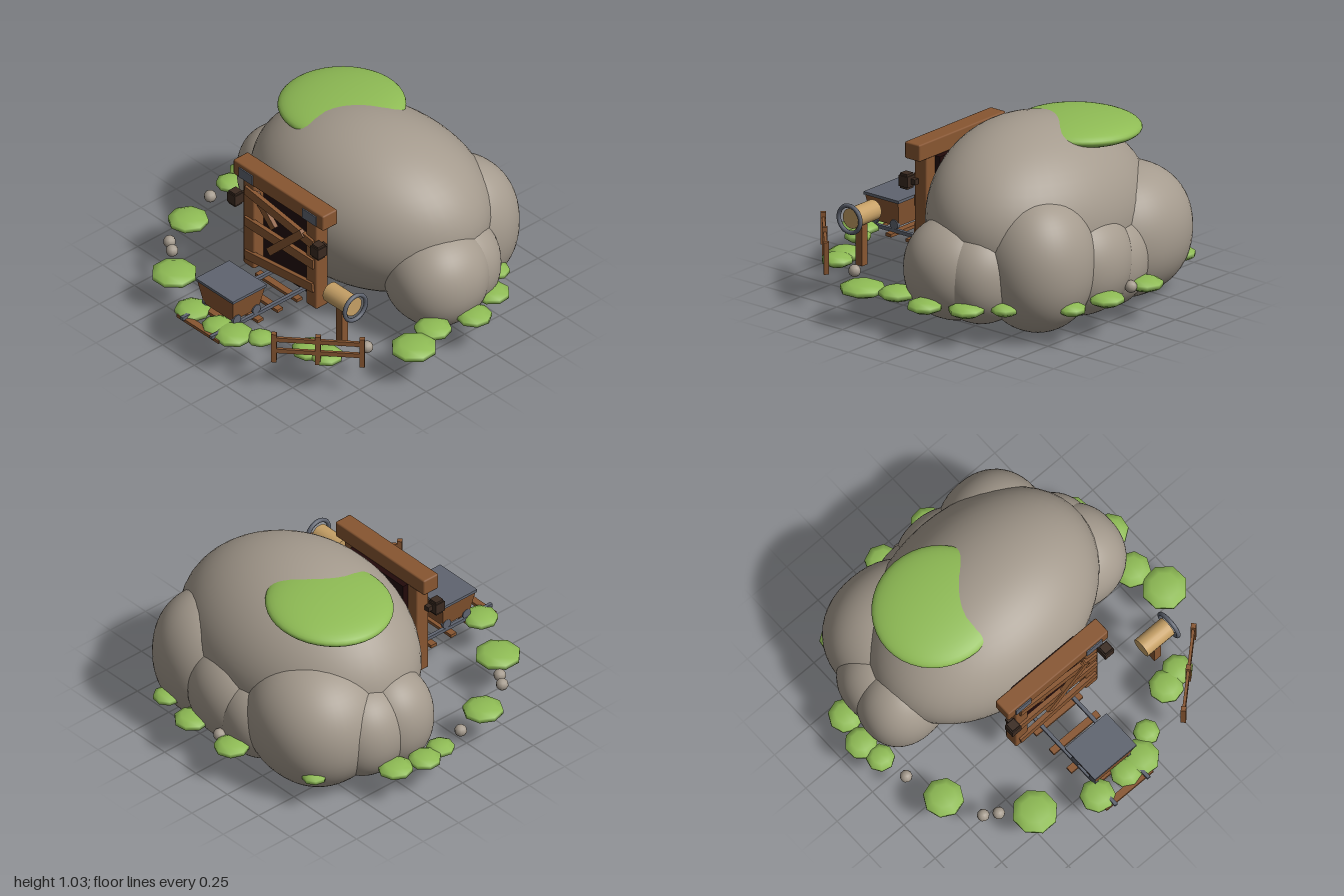
import * as THREE from 'three';
import { RoundedBoxGeometry } from 'three/addons/geometries/RoundedBoxGeometry.js';

const mat = (name, color) => {
  const m = new THREE.MeshStandardMaterial({ color });
  m.name = name;
  return m;
};

// Unit sphere whose vertices are moved by a rule
const warpedBall = (rule) => {
  const g = new THREE.SphereGeometry(1, 48, 32);
  const p = g.attributes.position;
  const v = new THREE.Vector3();
  for (let i = 0; i < p.count; i++) {
    rule(v.fromBufferAttribute(p, i));
    p.setXYZ(i, v.x, v.y, v.z);
  }
  return g;
};

export function createModel() {
  const root = new THREE.Group();
  root.name = 'mineEntrance';
  const rock = mat('rock', 0xa59b8e);
  const moss = mat('moss', 0x8fbc55);
  const wood = mat('wood', 0x885631);
  const iron = mat('iron', 0x5f6470);
  const dark = mat('tunnelDark', 0x220a0a);
  const lamp = mat('lanternBrown', 0x3a2a20);
  const tan = mat('barrelTan', 0xc6a066);

  const group = (name) => {
    const g = new THREE.Group();
    g.name = name;
    root.add(g);
    return g;
  };
  const add = (parent, name, geo, material, x, y, z) => {
    const m = new THREE.Mesh(geo, material);
    m.name = name;
    m.position.set(x, y, z);
    parent.add(m);
    return m;
  };
  const box = (parent, name, material, w, h, d, x, y, z) =>
    add(parent, name, new THREE.BoxGeometry(w, h, d), material, x, y, z);
  const beam = (parent, name, w, h, d, x, y, z) =>
    add(parent, name, new RoundedBoxGeometry(w, h, d, 1, 0.009), wood, x, y, z);

  // Main boulder, its upper half leaning forward
  const hill = group('hill');
  const leaning = warpedBall((v) => { v.z += 0.14 * Math.max(v.y, 0) ** 2; });
  const main = add(hill, 'mainBoulder', leaning, rock, 0, 0.53, -0.262);
  main.scale.set(0.725, 0.497, 0.53);
  main.rotation.set(0, 0.1, 0.05);

  // Side boulders, slightly squared: centre, radii
  const squared = warpedBall((v) => {
    for (const k of ['x', 'y', 'z']) v[k] = Math.sign(v[k]) * Math.abs(v[k]) ** 0.91;
  });
  [
    [0.59, 0.345, -0.195, 0.275, 0.28, 0.275],
    [0.55, 0.335, -0.34, 0.265, 0.27, 0.245],
    [0.37, 0.39, -0.57, 0.3, 0.37, 0.3],
    [0.08, 0.34, -0.62, 0.28, 0.29, 0.265],
    [-0.1, 0.3, -0.6, 0.25, 0.27, 0.26],
    [-0.4, 0.365, -0.51, 0.38, 0.365, 0.35],
    [-0.6, 0.34, -0.36, 0.25, 0.27, 0.24],
    [-0.62, 0.35, -0.19, 0.25, 0.28, 0.225],
  ].forEach(([x, y, z, a, b, c]) =>
    add(hill, 'sideBoulder', squared, rock, x, y, z).scale.set(a, b, c));

  // Moss cap on top
  const cap = add(hill, 'mossCap', new THREE.SphereGeometry(1, 40, 24), moss, -0.28, 0.928, -0.305);
  cap.scale.set(0.35, 0.075, 0.335);
  cap.rotation.set(0, 0, 0.06);

  // Ring of low bushes: x, z, radius
  const ring = group('groundRing');
  const tuft = new THREE.SphereGeometry(1, 8, 5);
  [
    [-0.15, -0.88, 0.1], [0.17, -0.88, 0.1], [0.41, -0.84, 0.08], [0.64, -0.57, 0.08],
    [0.78, -0.42, 0.1], [0.87, -0.21, 0.1], [0.81, 0.03, 0.105], [0.87, 0.22, 0.13],
    [-0.64, -0.73, 0.07], [-0.87, -0.36, 0.1], [-0.91, -0.19, 0.095], [-0.89, -0.06, 0.08],
    [-0.79, 0.33, 0.115], [-0.48, 0.71, 0.13], [-0.17, 0.86, 0.1], [0.03, 0.86, 0.09],
    [0.14, 0.85, 0.11], [0.26, 0.765, 0.075], [0.51, 0.64, 0.1], [0.615, 0.61, 0.09],
  ].forEach(([x, z, r], i) => {
    const b = add(ring, 'bush', tuft, moss, x, 0.205, z);
    b.scale.set(r, 0.028 + r * 0.1, r);
    b.rotation.y = i * 1.3;
  });

  // Pebbles
  const pebble = new THREE.SphereGeometry(1, 10, 7);
  [
    [-0.86, 0.11], [-0.7, 0.545], [-0.63, 0.59], [0.71, 0.41], [-0.04, -0.87],
  ].forEach(([x, z]) =>
    add(ring, 'pebble', pebble, rock, x, 0.215, z).scale.setScalar(0.034));

  // Timber portal with dark tunnel mouth
  const portal = group('portal');
  const cx = -0.023;
  box(portal, 'tunnelMouth', dark, 0.44, 0.55, 0.05, cx, 0.475, 0.275);
  beam(portal, 'lintel', 0.71, 0.095, 0.105, cx, 0.797, 0.33);
  for (const s of [-1, 1]) {
    beam(portal, 'post', 0.085, 0.56, 0.085, cx + s * 0.247, 0.48, 0.328);
    box(portal, 'ironPlate', iron, 0.108, 0.06, 0.009, cx + s * 0.25, 0.79, 0.385);
    const lx = cx + s * 0.328;
    box(portal, 'lantern', lamp, 0.05, 0.085, 0.05, lx, 0.617, 0.39);
    box(portal, 'lanternBand', lamp, 0.062, 0.06, 0.062, lx, 0.617, 0.39);
    box(portal, 'lanternBracket', lamp, 0.03, 0.03, 0.05, lx - s * 0.012, 0.617, 0.355);
  }

  // Boards nailed across the mouth: x, y, length, width, angle, z
  [
    [-0.02, 0.655, 0.54, 0.055, -0.14, 0.372],
    [-0.02, 0.49, 0.54, 0.058, 0, 0.372],
    [-0.02, 0.305, 0.54, 0.055, 0.12, 0.372],
    [0.04, 0.525, 0.37, 0.045, 0.78, 0.38],
    [-0.17, 0.605, 0.22, 0.045, -0.78, 0.345],
  ].forEach(([x, y, l, w, a, z]) => {
    box(portal, 'board', wood, l, w, 0.025, x, y, z).rotation.z = a;
  });

  // Track
  const track = group('track');
  for (const s of [-1, 1])
    box(track, 'rail', iron, 0.02, 0.02, 0.7, -0.02 + s * 0.115, 0.217, 0.62);
  for (let i = 0; i < 5; i++)
    box(track, 'sleeper', wood, 0.33, 0.018, 0.04, -0.025, 0.2, 0.375 + i * 0.14);

  // Mine cart with tapered tub
  const cart = group('mineCart');
  const tub = new THREE.BoxGeometry(0.285, 0.145, 0.23);
  const p = tub.attributes.position;
  for (let i = 0; i < p.count; i++)
    if (p.getY(i) < 0) p.setXYZ(i, p.getX(i) * 0.8, p.getY(i), p.getZ(i) * 0.8);
  tub.computeVertexNormals();
  add(cart, 'tub', tub, wood, -0.022, 0.315, 0.718);
  box(cart, 'rimPlate', iron, 0.295, 0.016, 0.24, -0.022, 0.392, 0.718);
  const wheel = new THREE.CylinderGeometry(0.028, 0.028, 0.018, 12).rotateZ(Math.PI / 2);
  for (const sx of [-1, 1])
    for (const sz of [-1, 1])
      add(cart, 'wheel', wheel, iron, -0.02 + sx * 0.115, 0.25, 0.718 + sz * 0.07);

  // Barrel on a post with iron hoop
  const stand = group('barrelStand');
  box(stand, 'standPost', wood, 0.045, 0.24, 0.045, 0.58, 0.32, 0.47);
  add(stand, 'barrel', new THREE.CylinderGeometry(0.056, 0.056, 0.185, 20).rotateZ(Math.PI / 2),
    tan, 0.578, 0.483, 0.468);
  add(stand, 'hoop', new THREE.TorusGeometry(0.075, 0.012, 8, 28).rotateY(Math.PI / 2),
    iron, 0.682, 0.483, 0.468);

  // Diagonal fence
  const fence = group('fence');
  fence.position.set(0.628, 0, 0.685);
  fence.rotation.y = Math.atan2(0.32, 0.355);
  for (const x of [-0.235, 0, 0.235])
    box(fence, 'fencePost', wood, 0.028, 0.18, 0.028, x, 0.285, 0);
  for (const y of [0.265, 0.337])
    box(fence, 'fenceRail', wood, 0.47, 0.026, 0.016, 0, y, 0);

  return root;
}
